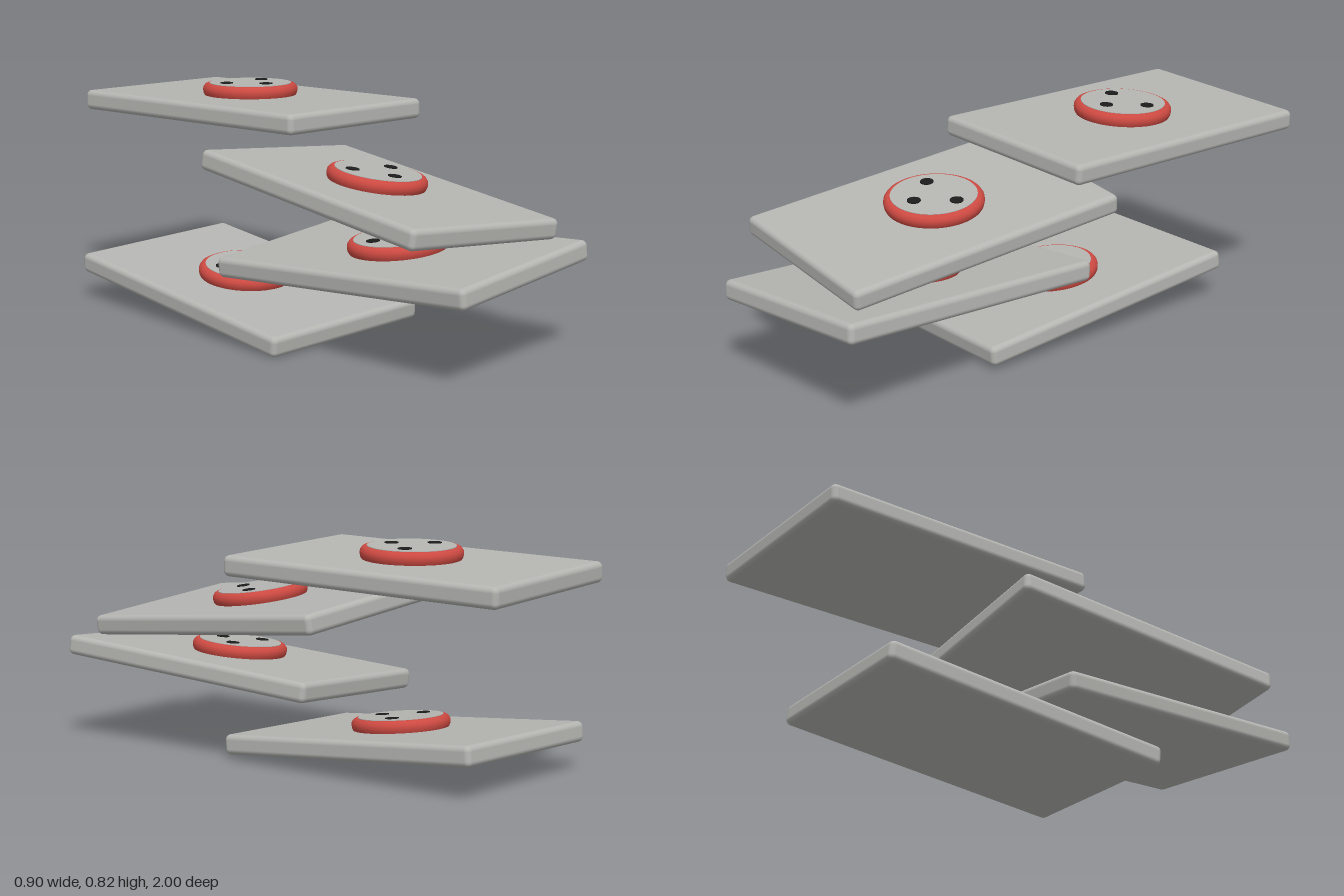
import * as THREE from 'three';
import { RoundedBoxGeometry } from 'three/addons/geometries/RoundedBoxGeometry.js';

const material = (name, color) => {
  const m = new THREE.MeshStandardMaterial({ color });
  m.name = name;
  return m;
};

export function createModel() {
  const stone = material('pale grey', 0xb5b5b2);
  const red = material('muted red', 0xcd4a42);
  const black = material('near black', 0x1c1c1c);

  const W = 0.687, T = 0.073, L = 1.092;

  // Shared part shapes
  const slabGeo = new RoundedBoxGeometry(W, T, L, 4, 0.02);
  const rimProfile = [
    [0.168, -0.004], [0.174, 0.007], [0.176, 0.018], [0.175, 0.029],
    [0.168, 0.039], [0.16, 0.043], [0.148, 0.043],
  ].map(([r, y]) => new THREE.Vector2(r, y));
  const rimGeo = new THREE.LatheGeometry(rimProfile, 48);
  const faceGeo = new THREE.CylinderGeometry(0.152, 0.152, 0.008, 48);
  const dotGeo = new THREE.CylinderGeometry(0.024, 0.024, 0.005, 20);

  const add = (parent, name, geo, mat, x = 0, y = 0, z = 0) => {
    const mesh = new THREE.Mesh(geo, mat);
    mesh.name = name;
    mesh.position.set(x, y, z);
    parent.add(mesh);
  };

  // One floating slab with its round emblem
  const makePlatform = (name) => {
    const g = new THREE.Group();
    g.name = name;
    add(g, 'slab', slabGeo, stone);
    const disc = new THREE.Group();
    disc.name = 'disc';
    disc.position.y = T / 2;
    add(disc, 'discRim', rimGeo, red);
    add(disc, 'discFace', faceGeo, stone, 0, 0.041, 0);
    for (const [x, z] of [[-0.09, -0.033], [0.09, -0.033], [0, 0.083]]) {
      add(disc, 'dot', dotGeo, black, x, 0.0455, z);
    }
    g.add(disc);
    return g;
  };

  // Centre, then pitch, yaw and roll of every platform, lowest first
  const poses = [
    ['lowestPlatform', [-0.092, 0.096, -0.277], [0.097, -0.036, 0.026]],
    ['lowerPlatform', [-0.03, 0.307, 0.432], [-0.069, 0.052, 0.064]],
    ['upperPlatform', [-0.036, 0.52, 0.32], [0.097, -0.067, -0.095]],
    ['highestPlatform', [0.09, 0.729, -0.445], [-0.027, 0.031, -0.03]],
  ];

  const model = new THREE.Group();
  model.name = 'floatingPlatforms';
  for (const [name, position, angles] of poses) {
    const p = makePlatform(name);
    p.position.set(...position);
    p.rotation.set(...angles, 'YXZ');
    model.add(p);
  }
  return model;
}
